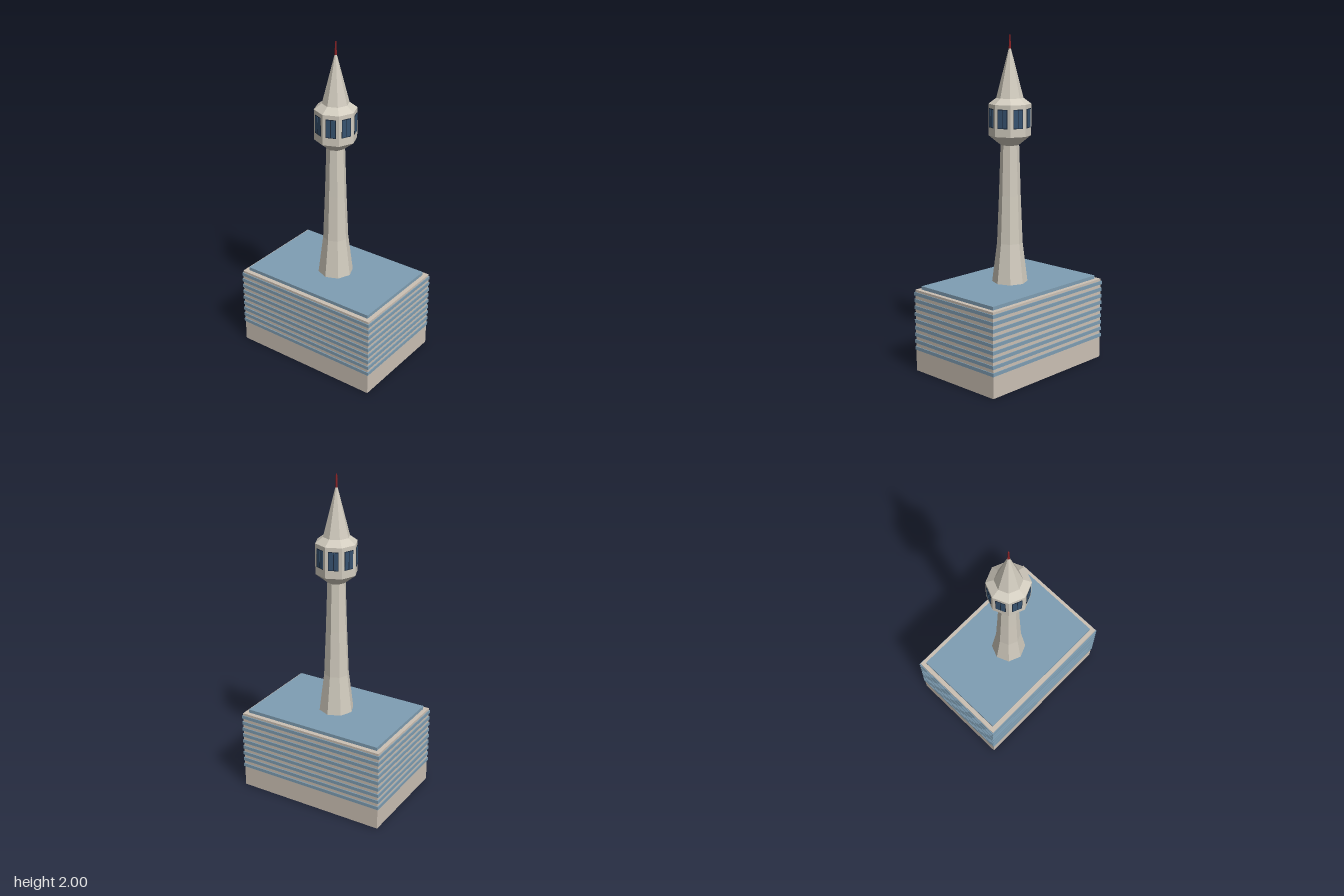
import * as THREE from 'three';

const mat = (name, color, flatShading = false) => {
  const m = new THREE.MeshStandardMaterial({ color, flatShading });
  m.name = name;
  return m;
};

export function createModel() {
  const model = new THREE.Group();
  model.name = 'observationTower';
  const stone = mat('warmStone', 0xcbc0b4);
  const blue = mat('paleBlueGlass', 0x7f9eb3);
  const concrete = mat('paleConcrete', 0xd2ccbf, true);
  const frameDark = mat('darkFrame', 0x1d2a3c);
  const pane = mat('windowBlue', 0x36526f);
  const red = mat('mastRed', 0x8c2226, true);

  const add = (name, geometry, material, parent = model) => {
    const mesh = new THREE.Mesh(geometry, material);
    mesh.name = name;
    parent.add(mesh);
    return mesh;
  };
  const box = (name, w, y0, y1, d, material) => {
    add(name, new THREE.BoxGeometry(w, y1 - y0, d), material).position.y = (y0 + y1) / 2;
  };
  // Eight-sided solid from [radius, height] rings, corners on the axes
  const octagon = (name, rings, material) => {
    const points = rings.map(([r, y]) => new THREE.Vector2(r, y));
    add(name, new THREE.LatheGeometry(points, 8), material);
  };

  // Building block with its glazed bands and roof
  box('building', 0.95, 0, 0.507, 0.65, stone);
  for (let i = 0; i < 9; i++) {
    const y = 0.143 + i * 0.0424;
    box('windowBand', 0.96, y - 0.0105, y + 0.0105, 0.66, blue);
  }
  box('roof', 0.897, 0.507, 0.528, 0.595, blue);

  // Tapering shaft, lookout pod and spire
  octagon('shaft', [[0.108, 0.52], [0.077, 0.77], [0.065, 1.06], [0.055, 1.37]], concrete);
  octagon('pod', [[0, 1.36], [0.055, 1.36], [0.126, 1.417], [0.126, 1.603], [0.08, 1.637], [0, 1.637]], concrete);
  octagon('spire', [[0.08, 1.637], [0.006, 1.925], [0, 1.925]], concrete);
  octagon('mast', [[0.007, 1.915], [0.004, 2], [0, 2]], red);

  // One double window on each pod face
  const apothem = 0.126 * Math.cos(Math.PI / 8);
  for (let i = 0; i < 8; i++) {
    const win = new THREE.Group();
    win.name = 'podWindow';
    win.rotation.y = (i + 0.5) * Math.PI / 4;
    model.add(win);
    add('windowFrame', new THREE.BoxGeometry(0.06, 0.112, 0.004), frameDark, win)
      .position.set(0, 1.522, apothem + 0.001);
    for (const side of [-1, 1]) {
      add('windowPane', new THREE.BoxGeometry(0.024, 0.104, 0.002), pane, win)
        .position.set(side * 0.0145, 1.522, apothem + 0.003);
    }
  }
  return model;
}
